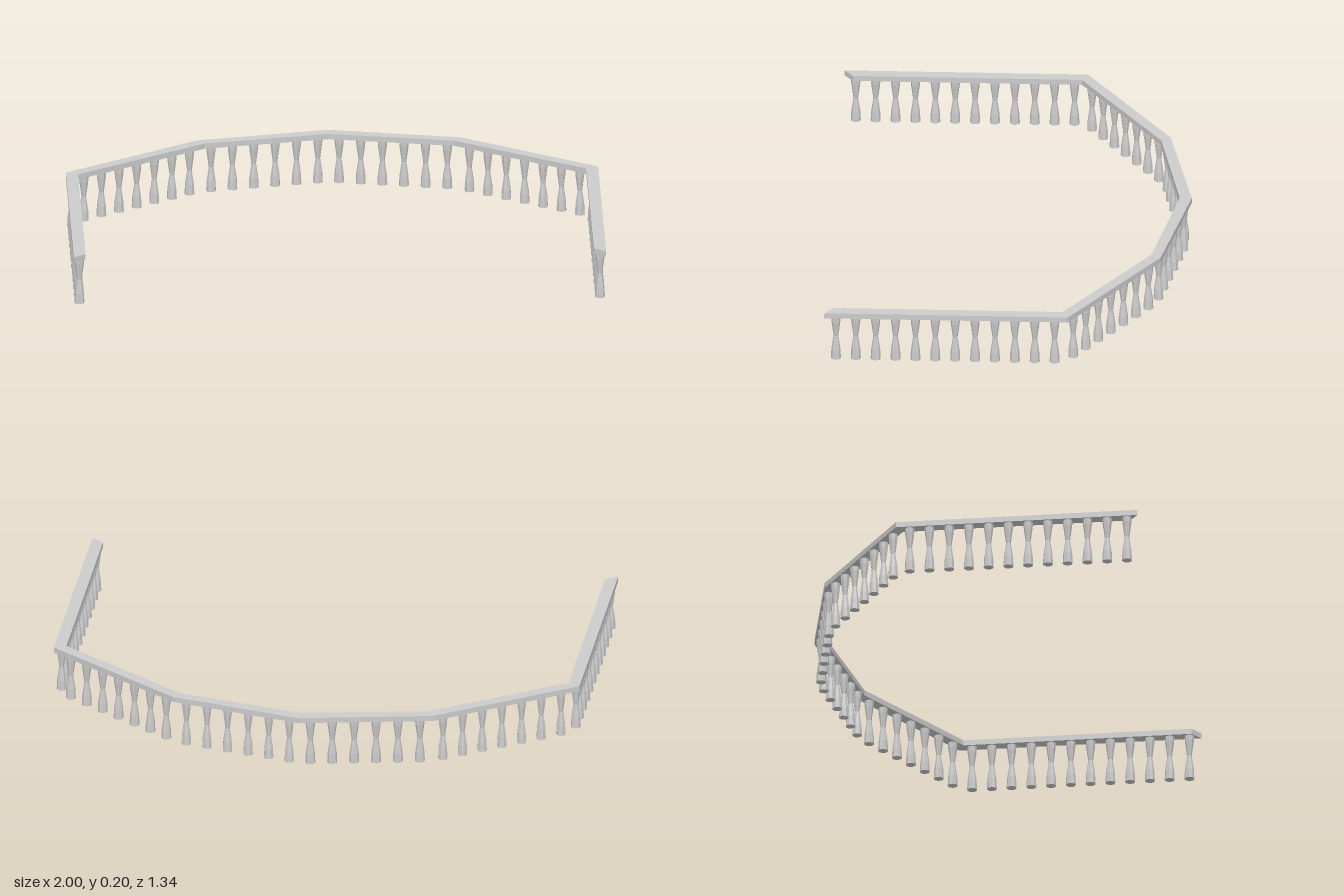
import * as THREE from 'three';

const material = new THREE.MeshStandardMaterial({ color: 0xcccccc, flatShading: true });
const RAIL_BOTTOM = 0.176, RAIL_TOP = 0.197;

// Handrail: mitred polyline band, mirrored across x and extruded upwards
function makeRail() {
  const outer = [[1, 0.67], [1, -0.245], [0.495, -0.575], [0, -0.673]];
  const inner = [[0.955, 0.637], [0.955, -0.224], [0.47, -0.54], [0, -0.628]];
  const mirror = (pts) => pts.slice(0, -1).reverse().map(([x, z]) => [-x, z]);
  const outerLine = [...outer, ...mirror(outer)];
  const innerLine = [...inner, ...mirror(inner)];
  const outline = [...outerLine, ...innerLine.reverse()];
  const shape = new THREE.Shape(outline.map(([x, z]) => new THREE.Vector2(x, -z)));
  const geometry = new THREE.ExtrudeGeometry(shape, { depth: RAIL_TOP - RAIL_BOTTOM, bevelEnabled: false });
  geometry.rotateX(-Math.PI / 2).translate(0, RAIL_BOTTOM, 0);
  const rail = new THREE.Mesh(geometry, material);
  rail.name = 'handrail';
  return rail;
}

// Baluster: faceted, waisted post with closed ends
function makeBalusterGeometry() {
  const profile = [[0, 0], [0.019, 0], [0.017, 0.04], [0.009, 0.095], [0.017, 0.155], [0.018, RAIL_BOTTOM], [0, RAIL_BOTTOM]];
  return new THREE.LatheGeometry(profile.map(([r, y]) => new THREE.Vector2(r, y)), 8);
}

export function createModel() {
  const model = new THREE.Group();
  model.name = 'balustrade';
  model.add(makeRail());

  // Evenly spaced rows: first post, last post, number of posts
  const rows = [
    { name: 'sideBalusters', from: [0.978, 0.627], to: [0.978, -0.195], count: 12 },
    { name: 'cornerBalusters', from: [0.932, -0.263], to: [0.526, -0.53], count: 7 },
    { name: 'backBalusters', from: [0.444, -0.565], to: [0.04, -0.643], count: 6 },
  ];
  const geometry = makeBalusterGeometry();
  for (const side of [1, -1]) {
    for (const { name, from, to, count } of rows) {
      const row = new THREE.Group();
      row.name = (side > 0 ? 'left ' : 'right ') + name;
      const angle = Math.atan2(from[1] - to[1], from[0] - to[0]);
      for (let i = 0; i < count; i++) {
        const t = i / (count - 1);
        const post = new THREE.Mesh(geometry, material);
        post.name = 'baluster';
        post.position.set(
          side * THREE.MathUtils.lerp(from[0], to[0], t), 0,
          THREE.MathUtils.lerp(from[1], to[1], t));
        post.rotation.y = -side * angle;
        row.add(post);
      }
      model.add(row);
    }
  }
  return model;
}
